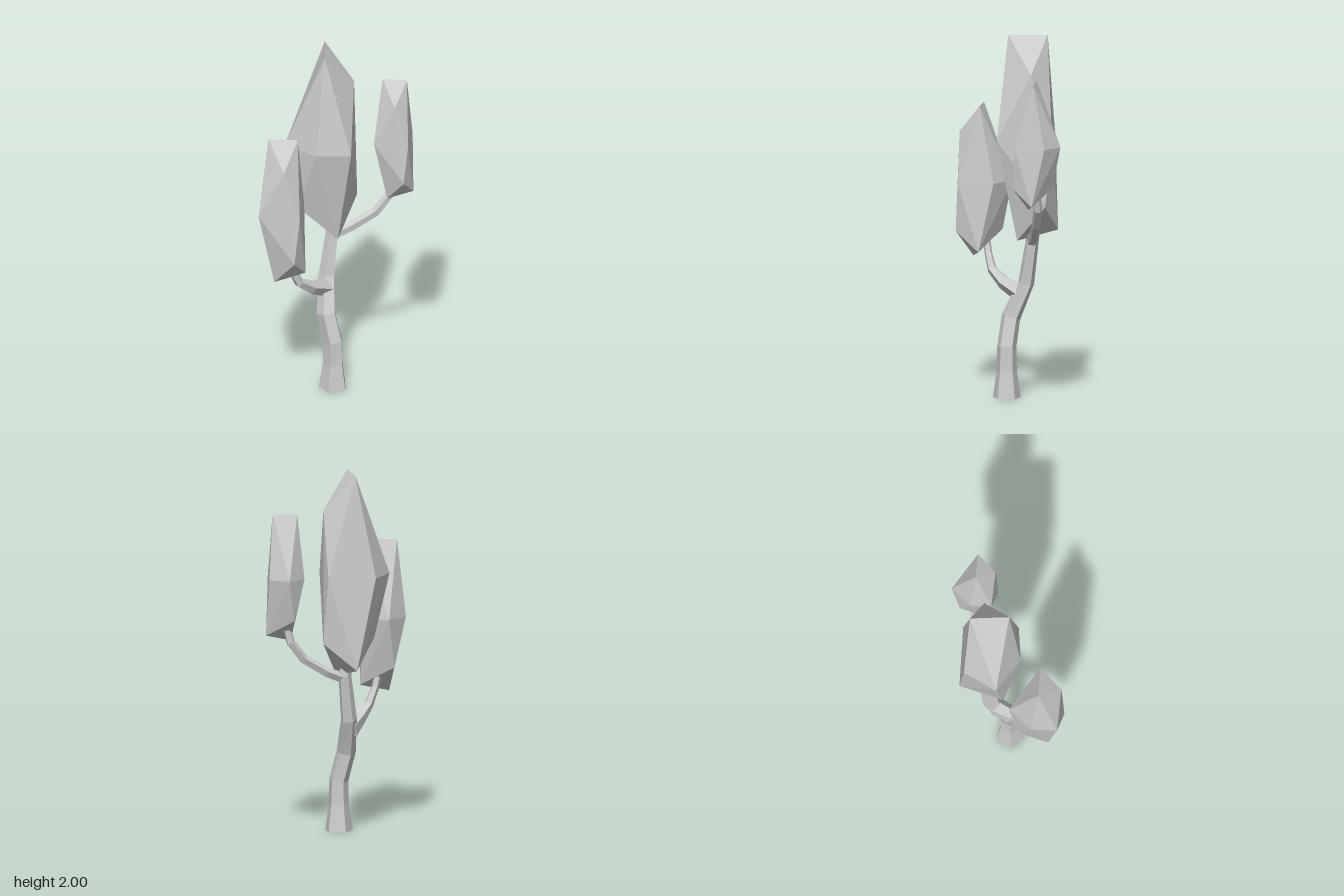
import * as THREE from 'three';
import { ConvexGeometry } from 'three/addons/geometries/ConvexGeometry.js';

const grey = new THREE.MeshStandardMaterial({ color: 0xcccccc, flatShading: true });
grey.name = 'grey';

// Five-sided limb through rings of [x, y, z, radius], capped at both ends
function limb(name, rings) {
  const sides = 5, pos = [], up = new THREE.Vector3(0, 1, 0);
  const at = rings.map((r) => new THREE.Vector3(r[0], r[1], r[2]));
  const loops = rings.map((r, j) => {
    const dir = at[Math.min(j + 1, at.length - 1)].clone().sub(at[Math.max(j - 1, 0)]).normalize();
    if (j === 0 && r[1] === 0) dir.copy(up);
    const q = new THREE.Quaternion().setFromUnitVectors(up, dir);
    return Array.from({ length: sides }, (_, i) => {
      const a = 0.14 + (i / sides) * Math.PI * 2;
      return new THREE.Vector3(Math.cos(a) * r[3], 0, Math.sin(a) * r[3]).applyQuaternion(q).add(at[j]);
    });
  });
  const tri = (...pts) => pts.forEach((p) => pos.push(p.x, p.y, p.z));
  const last = loops.length - 1;
  for (let i = 0; i < sides; i++) {
    const n = (i + 1) % sides;
    for (let j = 0; j < last; j++) {
      tri(loops[j][i], loops[j + 1][i], loops[j][n]);
      tri(loops[j][n], loops[j + 1][i], loops[j + 1][n]);
    }
    tri(at[0], loops[0][i], loops[0][n]);
    tri(at[last], loops[last][n], loops[last][i]);
  }
  const geo = new THREE.BufferGeometry();
  geo.setAttribute('position', new THREE.Float32BufferAttribute(pos, 3));
  geo.computeVertexNormals();
  const mesh = new THREE.Mesh(geo, grey);
  mesh.name = name;
  return mesh;
}

// Irregular twelve-cornered foliage shape, shared by all crowns
const crownCorners = [
  [-0.075, 0.425, 0.03], [0.075, 0.425, -0.03],                        // top ridge
  [0.06, 0.275, 0.105],                                                // shoulder
  [-0.08, 0, -0.145], [0.07, 0, -0.115], [0.14, 0, 0.07],              // waist
  [-0.075, 0, 0.145], [-0.13, 0, 0.015],
  [0.12, -0.27, 0.095], [-0.09, -0.27, -0.08],                         // lower corners
  [-0.02, -0.42, 0.065], [0.115, -0.38, -0.045],                       // bottom
].map((c) => new THREE.Vector3(...c));
const crownGeometry = new ConvexGeometry(crownCorners);

function crown(name, x, y, z, scale, turn) {
  const mesh = new THREE.Mesh(crownGeometry, grey);
  mesh.name = name;
  mesh.position.set(x, y, z);
  mesh.scale.setScalar(scale);
  mesh.rotation.y = turn;
  return mesh;
}

export function createModel() {
  const tree = new THREE.Group();
  tree.name = 'tree';

  // Trunk with flared foot, bending back and to one side
  tree.add(limb('trunk', [
    [-0.015, 0, 0.015, 0.08], [-0.015, 0.15, 0.015, 0.058], [-0.015, 0.28, 0.015, 0.055],
    [-0.058, 0.44, 0.013, 0.055], [-0.095, 0.63, -0.062, 0.046], [-0.085, 0.88, -0.108, 0.037],
    [-0.09, 1.05, -0.1, 0.03],
  ]));

  // Branches curving up into the small crowns
  tree.add(limb('frontBranch', [
    [-0.09, 0.57, -0.04, 0.055], [-0.112, 0.62, 0.09, 0.04], [-0.14, 0.68, 0.18, 0.027],
    [-0.165, 0.77, 0.22, 0.022], [-0.18, 0.86, 0.24, 0.02],
  ]));
  tree.add(limb('backBranch', [
    [-0.085, 0.86, -0.1, 0.03], [0, 0.905, -0.17, 0.029], [0.11, 0.985, -0.245, 0.027],
    [0.17, 1.08, -0.29, 0.025], [0.2, 1.2, -0.3, 0.022],
  ]));

  // Foliage
  tree.add(crown('mainCrown', -0.11, 1.432, -0.065, 1.336, 1.675));
  tree.add(crown('frontCrown', -0.19, 1.157, 0.275, 1, 0));
  tree.add(crown('backCrown', 0.2025, 1.435, -0.2925, 0.835, -0.03));
  return tree;
}
